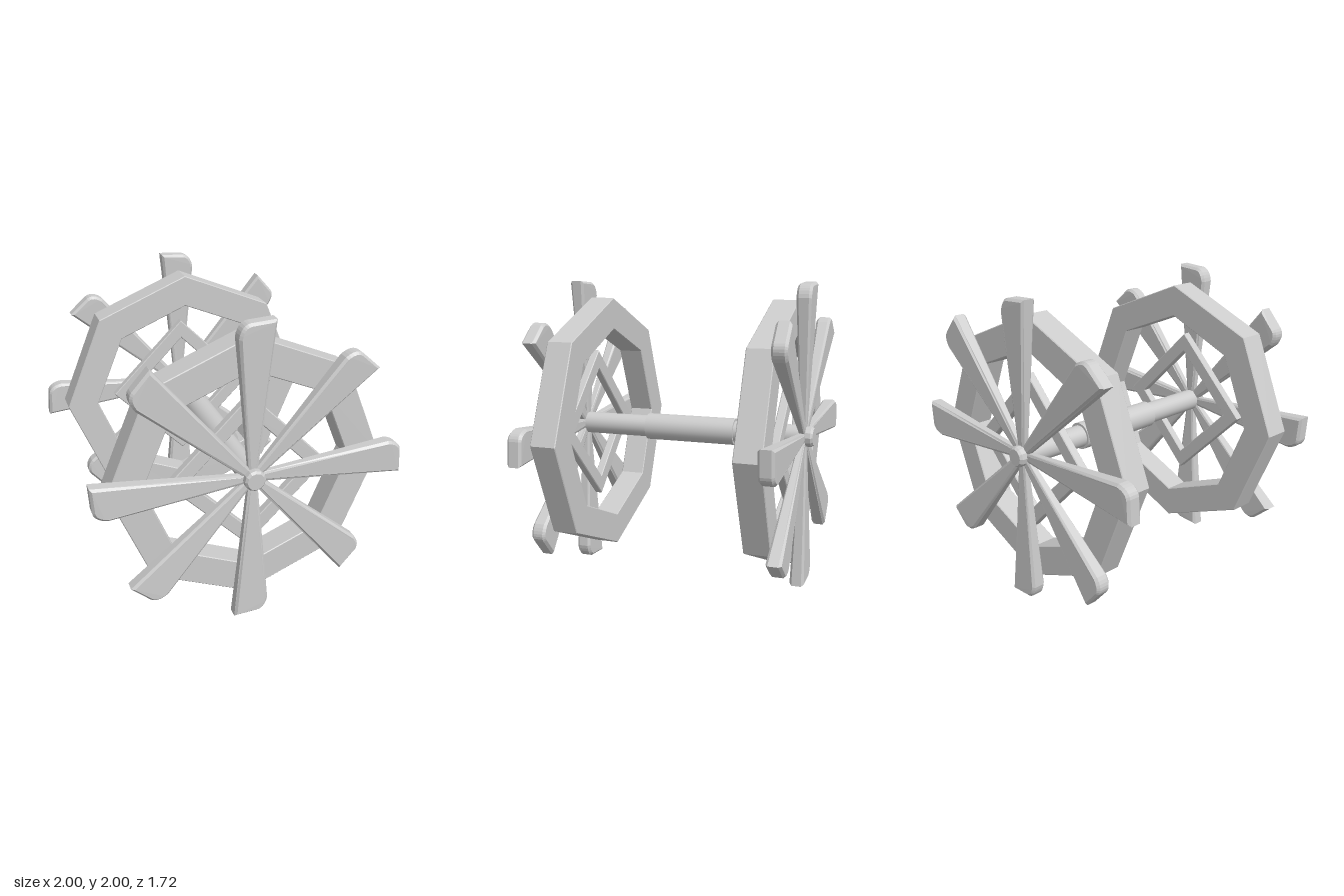
import * as THREE from 'three';

const material = new THREE.MeshStandardMaterial({ color: 0xcccccc, flatShading: true });
const smooth = new THREE.MeshStandardMaterial({ color: 0xcccccc });

function part(name, geometry, mat = material) {
  const mesh = new THREE.Mesh(geometry, mat);
  mesh.name = name;
  return mesh;
}

// Corners of a regular polygon with one corner pointing up
function polygon(sides, radius) {
  return Array.from({ length: sides }, (_, i) => {
    const a = Math.PI / 2 + (i / sides) * Math.PI * 2;
    return new THREE.Vector2(Math.cos(a) * radius, Math.sin(a) * radius);
  });
}

// Extrusion from z0 to z1 with a small chamfer that stays inside the outline
function slab(shape, z0, z1, bevel) {
  const geometry = new THREE.ExtrudeGeometry(shape, {
    depth: z1 - z0 - 2 * bevel,
    bevelEnabled: true,
    bevelSize: bevel,
    bevelThickness: bevel,
    bevelOffset: -bevel,
    bevelSegments: 1,
    curveSegments: 6,
  });
  return geometry.translate(0, 0, z0 + bevel);
}

function frame(sides, outer, inner, z0, z1) {
  const shape = new THREE.Shape(polygon(sides, outer));
  shape.holes.push(new THREE.Path(polygon(sides, inner).reverse()));
  return slab(shape, z0, z1, 0.005);
}

// Paddle: widens and thickens outward, one tip corner rounded
function spokeGeometry() {
  const shape = new THREE.Shape();
  shape.moveTo(-0.025, 0);
  shape.lineTo(0.025, 0);
  shape.lineTo(0.115, 1);
  shape.lineTo(-0.045, 0.99);
  shape.quadraticCurveTo(-0.1, 0.98, -0.113, 0.9);
  shape.closePath();
  const geometry = slab(shape, -0.049, 0.049, 0.016);
  const p = geometry.attributes.position;
  for (let i = 0; i < p.count; i++) {
    const t = THREE.MathUtils.clamp(p.getY(i) / 0.9, 0, 1);
    p.setZ(i, p.getZ(i) * THREE.MathUtils.lerp(0.4, 1, t));
  }
  geometry.computeVertexNormals();
  return geometry;
}

function createWheel(name) {
  const wheel = new THREE.Group();
  wheel.name = name;
  wheel.add(part('rim', frame(8, 0.885, 0.67, 0.565, 0.74)));
  wheel.add(part('innerFrame', frame(4, 0.52, 0.39, 0.685, 0.74)));

  const spoke = spokeGeometry();
  for (let i = 0; i < 8; i++) {
    const mesh = part('spoke', spoke);
    mesh.position.z = 0.79;
    mesh.rotation.z = (i * Math.PI) / 4;
    wheel.add(mesh);
  }

  // Chamfered hub cap
  const profile = [[0, 0.74], [0.068, 0.74], [0.068, 0.845], [0.055, 0.86], [0, 0.86]];
  const hub = new THREE.LatheGeometry(profile.map(([r, h]) => new THREE.Vector2(r, h)), 12);
  wheel.add(part('hubCap', hub.rotateX(Math.PI / 2)));
  return wheel;
}

export function createModel() {
  const model = new THREE.Group();
  model.name = 'wheelPair';

  const front = createWheel('frontWheel');
  const back = createWheel('backWheel');
  back.rotation.y = Math.PI;

  // Axle with a thicker sleeve in the middle
  const axle = part('axle', new THREE.CylinderGeometry(0.074, 0.074, 1.56, 32), smooth);
  const sleeve = part('axleSleeve', new THREE.CylinderGeometry(0.09, 0.09, 0.63, 32), smooth);
  for (const mesh of [axle, sleeve]) mesh.rotation.x = Math.PI / 2;
  sleeve.position.z = -0.01;

  model.add(front, back, axle, sleeve);
  for (const child of model.children) child.position.y = 1;
  return model;
}
